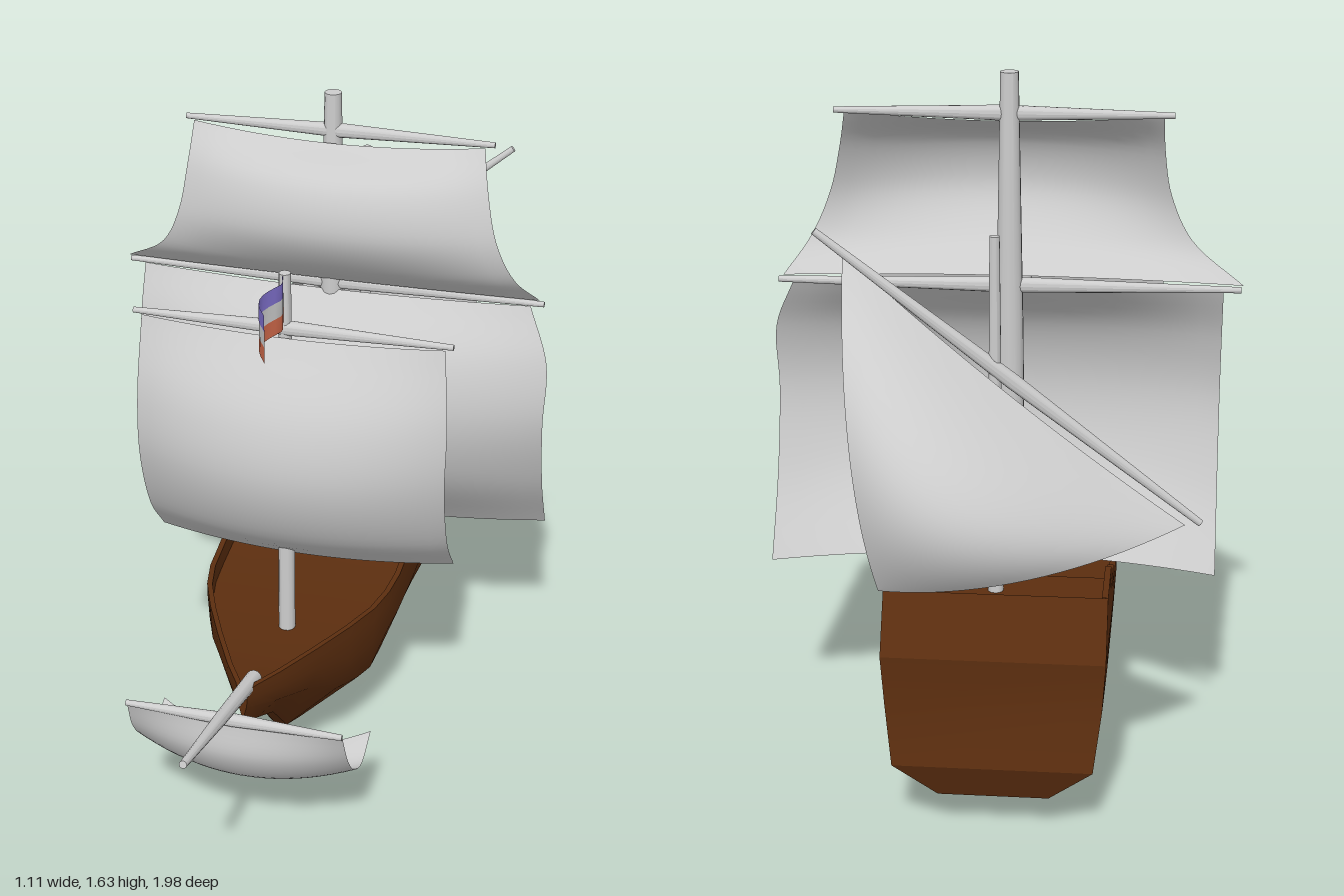
import * as THREE from 'three';
import { toCreasedNormals } from 'three/addons/utils/BufferGeometryUtils.js';

const material = (name, color, side = THREE.FrontSide) => {
  const m = new THREE.MeshStandardMaterial({ color, side });
  m.name = name;
  return m;
};
const V = (x, y, z) => new THREE.Vector3(x, y, z);
const lerp = THREE.MathUtils.lerp;

export function createModel() {
  const ship = new THREE.Group();
  ship.name = 'sailingShip';
  const wood = material('brown wood', 0x5c2e0f);
  const pale = material('pale spars', 0xcccccc);
  const cloth = material('pale sailcloth', 0xcccccc, THREE.DoubleSide);
  const violet = material('violet flag cloth', 0x7f70cc, THREE.DoubleSide);
  const red = material('red flag cloth', 0xd0694a, THREE.DoubleSide);

  const add = (name, geometry, mat) => {
    const mesh = new THREE.Mesh(geometry, mat);
    mesh.name = name;
    ship.add(mesh);
    return mesh;
  };
  const build = (points, index) => {
    const g = new THREE.BufferGeometry().setFromPoints(points);
    g.setIndex(index);
    g.computeVertexNormals();
    return g;
  };
  // Surface from a function of u, v in 0..1
  const patch = (nu, nv, fn) => {
    const points = [], index = [];
    for (let j = 0; j <= nv; j++) for (let i = 0; i <= nu; i++) points.push(fn(i / nu, j / nv));
    for (let j = 0; j < nv; j++) for (let i = 0; i < nu; i++) {
      const a = j * (nu + 1) + i, b = a + nu + 1;
      index.push(a, b, a + 1, a + 1, b, b + 1);
    }
    return build(points, index);
  };

  // Hull stations, stern to bow: z, half width, keel y, rail y, deck y, stern shape 0..1
  const stations = [
    [-0.79, 0.25, 0.09, 0.56, 0.56, 1],
    [-0.70, 0.25, 0.055, 0.56, 0.53, 0.8],
    [-0.551, 0.25, 0.008, 0.56, 0.53, 0.45],
    [-0.55, 0.25, 0.008, 0.50, 0.46, 0.45],
    [-0.411, 0.25, 0, 0.50, 0.46, 0.2],
    [-0.41, 0.25, 0, 0.44, 0.39, 0.2],
    [-0.195, 0.25, 0, 0.44, 0.38, 0],
    [-0.055, 0.247, 0, 0.42, 0.37, 0],
    [0.035, 0.24, 0, 0.422, 0.37, 0],
    [0.12, 0.222, 0.04, 0.423, 0.37, 0],
    [0.22, 0.182, 0.09, 0.425, 0.37, 0],
    [0.33, 0.13, 0.21, 0.428, 0.38, 0],
    [0.45, 0.068, 0.28, 0.43, 0.39, 0],
    [0.52, 0.025, 0.325, 0.43, 0.42, 0],
    [0.55, 0.012, 0.35, 0.43, 0.43, 0],
  ];
  const midX = [0, 0.09, 0.8, 0.98, 1, 1], sternX = [0, 0.5, 0.9, 0.97, 1, 1];
  const midY = [0, 0, 0.41, 0.7, 0.9], sternY = [0, 0, 0.25, 0.65, 1];
  const sternZ = [-0.785, -0.785, -0.815, -0.785, -0.79, -0.72, -0.715, -0.71, -0.71];
  const hullPoints = [], hullIndex = [], ring = 16;
  stations.forEach(([z, w, keel, rail, deck, s], n) => {
    const half = [];
    for (let i = 0; i < 6; i++) {
      const y = i < 5 ? lerp(keel, 0.43, lerp(midY[i], sternY[i], s)) : rail;
      half.push([w * lerp(midX[i], sternX[i], s), Math.min(y, rail)]);
    }
    const inner = Math.max(w - 0.014, 0.004);
    half.push([inner, rail], [inner, deck], [0, deck]);
    const zAt = i => (n === 0 ? sternZ[i] : z);
    for (let i = 0; i < 9; i++) hullPoints.push(V(half[i][0] - 0.017, half[i][1], zAt(i)));
    for (let i = 7; i > 0; i--) hullPoints.push(V(-half[i][0] - 0.017, half[i][1], zAt(i)));
  });
  const last = stations.length - 1;
  for (let n = 0; n < last; n++) for (let i = 0; i < ring; i++) {
    const a = n * ring + i, b = n * ring + (i + 1) % ring;
    hullIndex.push(a, b, b + ring, a, b + ring, a + ring);
  }
  // Transom and stem close the two ends
  for (let i = 0; i < 5; i++) {
    const l = (ring - i) % ring, l2 = ring - i - 1, o = last * ring;
    hullIndex.push(i, l, l2, i, l2, i + 1);
    hullIndex.push(o + i, o + l2, o + l, o + i, o + i + 1, o + l2);
  }
  add('hull', toCreasedNormals(build(hullPoints, hullIndex), 0.5), wood);

  // Round spar between two points with start, middle and end radii
  const spar = (name, a, b, r0, rm, r1) => {
    const h = a.distanceTo(b);
    const profile = [[0, 0], [r0, 0], [rm, h / 2], [r1, h], [0, h]].map(p => new THREE.Vector2(...p));
    const mesh = add(name, toCreasedNormals(new THREE.LatheGeometry(profile, 14), 0.6), pale);
    mesh.position.copy(a);
    mesh.quaternion.setFromUnitVectors(V(0, 1, 0), b.clone().sub(a).normalize());
  };
  spar('foreMast', V(-0.01, 0.36, 0.178), V(-0.01, 1.355, 0.178), 0.021, 0.02, 0.014);
  spar('mainMast', V(-0.01, 0.37, -0.265), V(-0.01, 1.635, -0.265), 0.037, 0.033, 0.021);
  spar('mizzenMast', V(-0.01, 0.5, -0.632), V(-0.01, 1.355, -0.632), 0.018, 0.015, 0.011);
  spar('bowsprit', V(-0.015, 0.405, 0.46), V(-0.015, 0.555, 1), 0.02, 0.016, 0.009);
  spar('foreYard', V(-0.383, 1.215, 0.18), V(0.392, 1.215, 0.18), 0.007, 0.018, 0.007);
  spar('mainYard', V(-0.545, 1.135, -0.262), V(0.533, 1.135, -0.262), 0.007, 0.019, 0.007);
  spar('topYard', V(-0.383, 1.54, -0.262), V(0.392, 1.54, -0.262), 0.007, 0.018, 0.007);
  spar('spritYard', V(-0.27, 0.427, 0.66), V(0.255, 0.427, 0.66), 0.007, 0.016, 0.007);
  spar('mizzenYard', V(-0.465, 0.69, -0.587), V(0.37, 1.37, -0.677), 0.008, 0.018, 0.008);

  // Square sail from rows: left x, right x, edge y, edge z, middle y, middle z
  const sail = (name, rows) => {
    const edge = new THREE.CatmullRomCurve3(rows.map(r => V(r[0], r[2], r[3])));
    const edge2 = new THREE.CatmullRomCurve3(rows.map(r => V(r[1], r[2], r[3])));
    const middle = new THREE.CatmullRomCurve3(rows.map(r => V(0, r[4], r[5])));
    add(name, patch(20, 24, (u, v) => {
      const a = edge.getPoint(v), b = edge2.getPoint(v), m = middle.getPoint(v);
      const k = 1 - (2 * u - 1) ** 2;
      return V(lerp(a.x, b.x, u), lerp(a.y, m.y, k), lerp(a.z, m.z, k));
    }), cloth);
  };
  sail('foreSail', [
    [-0.36, 0.375, 1.21, 0.19, 1.195, 0.195],
    [-0.36, 0.395, 1.03, 0.243, 1.03, 0.315],
    [-0.36, 0.395, 0.87, 0.248, 0.87, 0.345],
    [-0.36, 0.395, 0.69, 0.187, 0.7, 0.285],
    [-0.36, 0.395, 0.57, 0.09, 0.575, 0.15],
  ]);
  sail('mainSail', [
    [-0.505, 0.5, 1.13, -0.255, 1.12, -0.245],
    [-0.505, 0.555, 1.0, -0.205, 1.0, -0.135],
    [-0.505, 0.557, 0.84, -0.185, 0.84, -0.095],
    [-0.505, 0.557, 0.64, -0.245, 0.66, -0.135],
    [-0.505, 0.557, 0.455, -0.355, 0.46, -0.28],
  ]);
  sail('topSail', [
    [-0.36, 0.37, 1.535, -0.25, 1.515, -0.235],
    [-0.363, 0.392, 1.44, -0.195, 1.45, -0.115],
    [-0.38, 0.42, 1.33, -0.17, 1.33, -0.083],
    [-0.43, 0.462, 1.23, -0.19, 1.22, -0.145],
    [-0.55, 0.522, 1.145, -0.26, 1.15, -0.24],
  ]);
  sail('spritSail', [
    [-0.268, 0.256, 0.425, 0.66, 0.415, 0.665],
    [-0.272, 0.26, 0.33, 0.62, 0.32, 0.67],
    [-0.272, 0.26, 0.255, 0.555, 0.225, 0.61],
    [-0.272, 0.26, 0.215, 0.475, 0.185, 0.53],
    [-0.272, 0.26, 0.245, 0.387, 0.195, 0.44],
  ]);

  // Three-cornered sail, billowing aft
  const peak = V(0.335, 1.28, -0.53), tack = V(-0.43, 0.755, -0.75), clew = V(0.22, 0.63, -0.87);
  add('mizzenSail', patch(20, 20, (u, v) => {
    const a = (1 - u) * (1 - v), b = u * (1 - v), c = v;
    const p = V(0, 0, 0).addScaledVector(peak, a).addScaledVector(tack, b).addScaledVector(clew, c);
    p.z -= 0.64 * a * c + 0.45 * b * c + 0.2 * a * b + 2.4 * a * b * c;
    return p;
  }), cloth);

  // Waving flag in three stripes
  const levels = [1.235, 1.275, 1.315, 1.355];
  [['flagLowerStripe', red], ['flagMiddleStripe', cloth], ['flagUpperStripe', violet]].forEach(([name, mat], i) => {
    add(name, patch(12, 2, (u, v) => V(
      -0.01 + 0.018 * Math.sin(u * 7) * Math.min(1, u * 3),
      lerp(levels[i], levels[i + 1], v) + 0.008 * Math.sin(u * 5),
      lerp(0.192, 0.392, u))), mat);
  });
  return ship;
}
